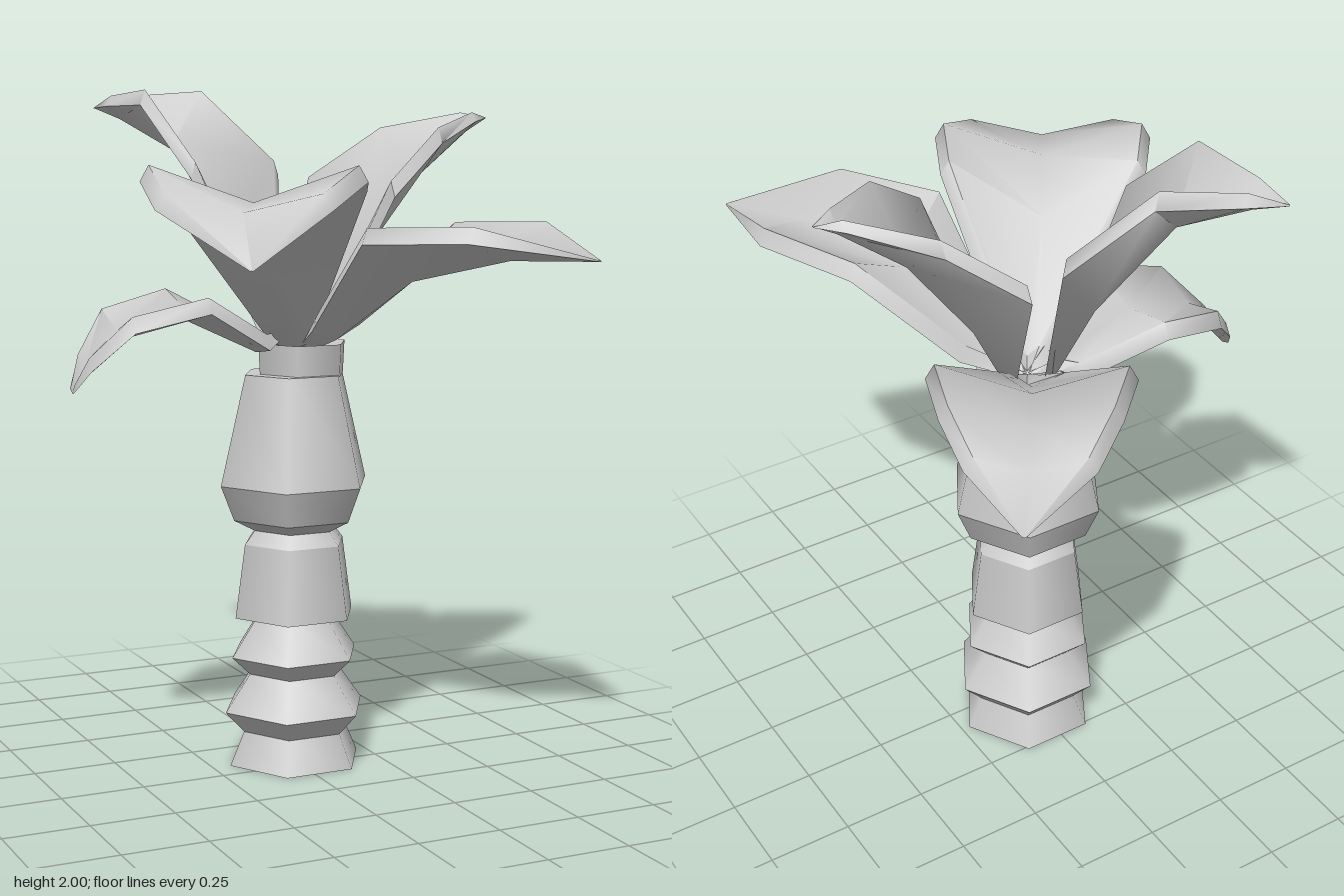
import * as THREE from 'three';
import { toCreasedNormals } from 'three/addons/utils/BufferGeometryUtils.js';

const CENTRE = [0.015, -0.078];
const material = new THREE.MeshStandardMaterial({ color: 0xcccccc, side: THREE.DoubleSide });

// Six-sided trunk and the collar under the leaves, as bands between [radius, height] rings
const TRUNK = [
  [0, 0], [0.21, 0], [0.165, 0.1], [0.224, 0.165], [0.145, 0.275], [0.202, 0.33],
  [0.12, 0.45], [0.191, 0.45], [0.16, 0.67], [0.128, 0.71], [0.194, 0.745],
  [0.236, 0.85], [0.157, 1.175], [0, 1.175],
];
const COLLAR = [[0.135, 1.17], [0.14, 1.265], [0, 1.24]];

// Every leaf starts with the same stem; stations are [reach, half width, rib height, rim height]
const STEM = [[0, 0.01, 1.25, 1.255], [0.075, 0.06, 1.26, 1.3]];
const LEAVES = [
  { name: 'rightSideLeaf', angle: 0, shift: 0,
    stations: [[0.175, 0.3, 1.47, 1.74], [0.375, 0.21, 1.74, 1.89], [0.57, 0.06, 1.89, 1.935], [0.637, 0.004, 1.92, 1.92]] },
  { name: 'frontRightLeaf', angle: 60.4, shift: 0,
    stations: [[0.15, 0.12, 1.3, 1.36], [0.41, 0.255, 1.48, 1.62], [0.725, 0.225, 1.55, 1.63], [1.0, 0.004, 1.54, 1.54]] },
  { name: 'frontLeftLeaf', angle: 122.2, shift: 0.045,
    stations: [[0.32, 0.29, 1.57, 1.76], [0.49, 0.31, 1.68, 1.79], [0.66, 0.235, 1.66, 1.72], [0.816, 0.004, 1.53, 1.53]] },
  { name: 'leftSideLeaf', angle: 182, shift: 0,
    stations: [[0.12, 0.11, 1.26, 1.3], [0.335, 0.21, 1.36, 1.42], [0.545, 0.17, 1.31, 1.37], [0.645, 0.08, 1.2, 1.25], [0.677, 0.03, 1.15, 1.17]] },
  { name: 'backLeftLeaf', angle: 235.5, shift: 0,
    stations: [[0.2, 0.24, 1.53, 1.79], [0.42, 0.175, 1.84, 2.0], [0.62, 0.07, 1.93, 1.985], [0.716, 0.004, 1.95, 1.95]] },
  { name: 'backRightLeaf', angle: 302.9, shift: -0.015,
    stations: [[0.15, 0.12, 1.3, 1.36], [0.36, 0.28, 1.42, 1.52], [0.58, 0.235, 1.46, 1.54], [0.73, 0.168, 1.43, 1.49], [0.857, 0.004, 1.34, 1.34]] },
];

// Leaf: a V-shaped section with a bevelled rim that thins out to the tip, lofted along its reach
function leafGeometry({ angle, shift, stations }) {
  const a = THREE.MathUtils.degToRad(angle);
  const rows = [...STEM, ...stations];
  const position = [], index = [];
  rows.forEach(([reach, w, rib, rim], i) => {
    const middle = i >= STEM.length && i < rows.length - 1 ? shift : 0;
    const inner = Math.max(w - 0.025, w * 0.5);
    const thin = Math.min(1, w / 0.1);
    const outerY = rim - 0.045 * thin;
    const section = [
      [-w, outerY], [-inner, rim], [0, rib + 0.01 * thin],
      [inner, rim], [w, outerY], [0, rib - 0.02 * thin],
    ];
    for (const [s, y] of section) {
      const side = s + middle;
      position.push(
        CENTRE[0] + reach * Math.cos(a) - side * Math.sin(a), y,
        CENTRE[1] + reach * Math.sin(a) + side * Math.cos(a));
    }
    if (i === 0) return;
    for (let j = 0; j < 6; j++) {
      const k = (j + 1) % 6, p = (i - 1) * 6, q = i * 6;
      index.push(p + j, p + k, q + j, p + k, q + k, q + j);
    }
  });
  // Close the blunt end
  const e = (rows.length - 1) * 6;
  index.push(e, e + 1, e + 5, e + 1, e + 2, e + 5, e + 2, e + 3, e + 5, e + 3, e + 4, e + 5);
  const geometry = new THREE.BufferGeometry();
  geometry.setAttribute('position', new THREE.Float32BufferAttribute(position, 3));
  geometry.setIndex(index);
  return toCreasedNormals(geometry, 1.3);
}

// Stacked bands: smooth around, sharp between rings
function bandStack(name, rings, x) {
  const stack = new THREE.Group();
  stack.name = name;
  stack.position.set(x, 0, CENTRE[1]);
  for (let i = 1; i < rings.length; i++) {
    const edge = [rings[i - 1], rings[i]].map(([r, y]) => new THREE.Vector2(r, y));
    const mesh = new THREE.Mesh(new THREE.LatheGeometry(edge, 6).rotateY(Math.PI / 6), material);
    mesh.name = `${name}Band${i}`;
    stack.add(mesh);
  }
  return stack;
}

export function createModel() {
  const group = new THREE.Group();
  group.name = 'palmTree';
  group.add(bandStack('trunk', TRUNK, CENTRE[0]), bandStack('collar', COLLAR, 0.04));
  for (const leaf of LEAVES) {
    const mesh = new THREE.Mesh(leafGeometry(leaf), material);
    mesh.name = leaf.name;
    group.add(mesh);
  }
  return group;
}
